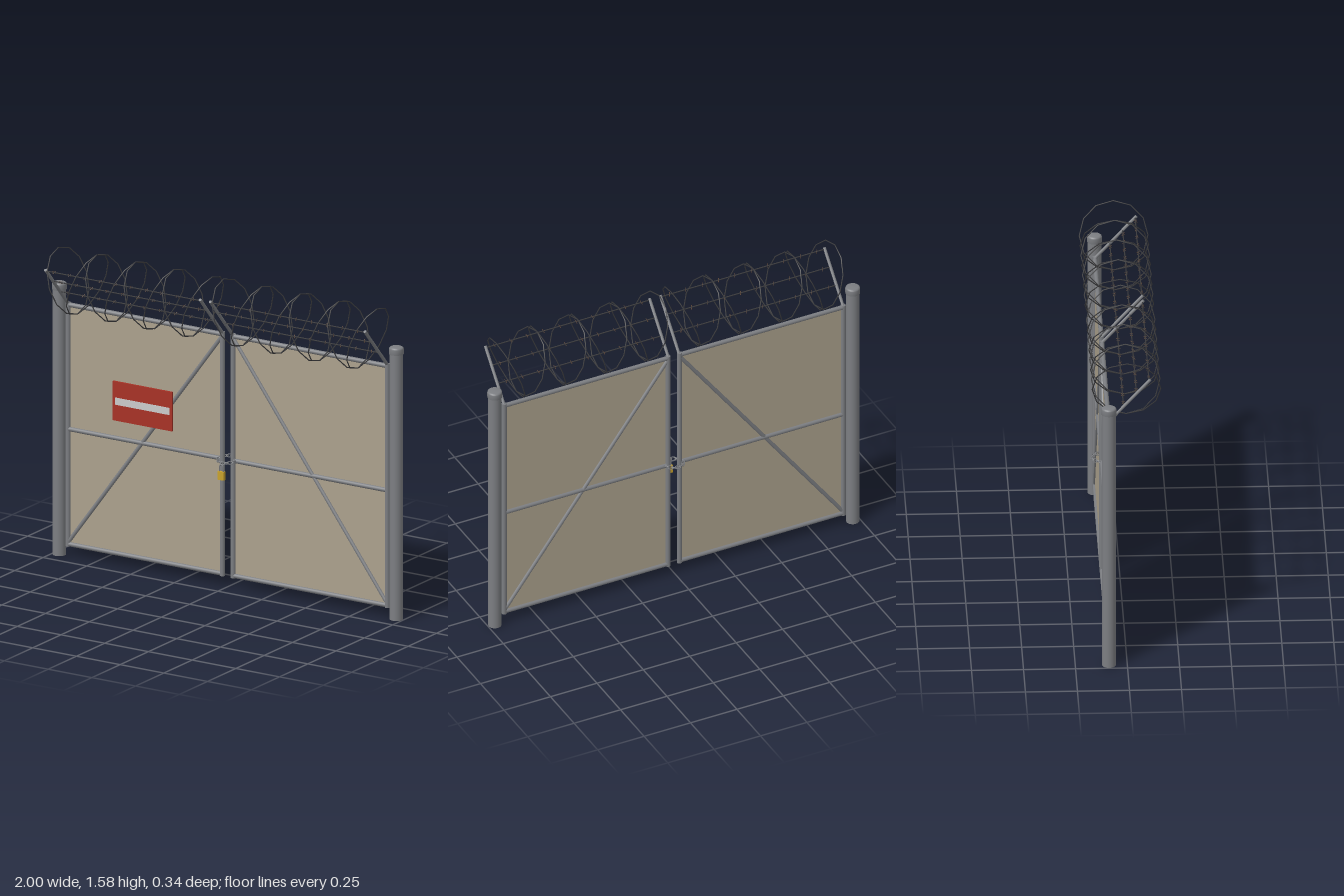
import * as THREE from 'three';
import { mergeGeometries } from 'three/addons/utils/BufferGeometryUtils.js';

const V = (x, y, z) => new THREE.Vector3(x, y, z);
const paint = (color, side = THREE.FrontSide) => new THREE.MeshStandardMaterial({ color, side });
const steel = paint(0x7c7e82), wire = paint(0x3c3c3e), rust = paint(0x6b5140);
const screen = paint(0xaba18d, THREE.DoubleSide);
const red = paint(0xa83226), white = paint(0xcccccc), brass = paint(0xc9a22c);
const Z = -0.088; // plane of the gate

function add(parent, name, geometry, material) {
  const mesh = new THREE.Mesh(geometry, material);
  mesh.name = name;
  parent.add(mesh);
  return mesh;
}

// straight round bar between two points
function bar(a, b, r, sides = 10) {
  const d = b.clone().sub(a);
  const q = new THREE.Quaternion().setFromUnitVectors(V(0, 1, 0), d.clone().normalize());
  const m = new THREE.Matrix4().compose(a.clone().add(b).multiplyScalar(0.5), q, V(1, 1, 1));
  return new THREE.CylinderGeometry(r, r, d.length(), sides).applyMatrix4(m);
}

// polygonal ring of razor wire, leaning from its top to its bottom along x
function coilRing(xTop, xBottom) {
  const path = new THREE.CurvePath(), n = 12, pts = [];
  for (let i = 0; i <= n; i++) {
    const a = i / n * Math.PI * 2, c = Math.cos(a);
    pts.push(V((xTop + xBottom) / 2 + c * (xTop - xBottom) / 2, 1.417 + 0.158 * c, 0.165 * Math.sin(a)));
  }
  for (let i = 0; i < n; i++) path.add(new THREE.LineCurve3(pts[i], pts[i + 1]));
  return new THREE.TubeGeometry(path, n, 0.003, 5, true);
}

// one leaf with its topping; s = 1 for the left, -1 for the right
function gateLeaf(s) {
  const leaf = new THREE.Group();
  leaf.name = s > 0 ? 'leftLeaf' : 'rightLeaf';
  const inner = 0.031, outer = 0.913;
  const P = (x, y, z = Z) => V(s * x, y, z);

  for (const [name, x] of [['innerStile', inner], ['outerStile', outer]])
    add(leaf, name, bar(P(x, 0.05), P(x, 1.277), 0.0125, 12), steel);
  for (const [name, y] of [['bottomRail', 0.061], ['middleRail', 0.64], ['topRail', 1.265]])
    add(leaf, name, bar(P(inner, y), P(outer, y), 0.0115), steel);
  add(leaf, 'diagonalBrace', bar(P(0.036, 1.25), P(0.905, 0.08), 0.01), steel);

  const sheet = add(leaf, 'infillSheet', new THREE.PlaneGeometry(outer - inner, 1.204), screen);
  sheet.position.set(s * (inner + outer) / 2, 0.663, Z);

  // arms leaning to the front, carrying three barbed strands
  const foot = t => [1.27 + 0.22 * t, Z + 0.2 * t];
  for (const x of [inner - 0.002, outer])
    add(leaf, 'leaningArm', bar(P(x, ...foot(0)), P(x, ...foot(1)), 0.008, 8), steel);
  for (const t of [0.36, 0.67, 0.97]) {
    const [y, z] = foot(t);
    add(leaf, 'strand', bar(P(inner, y, z), P(outer, y, z), 0.003, 6), wire);
    const barbs = [];
    for (let i = 0; i < 10; i++) {
      const x = inner + 0.045 + i * 0.088;
      barbs.push(bar(P(x - 0.003, y - 0.008, z - 0.006), P(x + 0.003, y + 0.008, z + 0.006), 0.0015, 4));
      barbs.push(bar(P(x + 0.003, y - 0.006, z + 0.008), P(x - 0.003, y + 0.006, z - 0.008), 0.0015, 4));
    }
    add(leaf, 'barbs', mergeGeometries(barbs), rust);
  }

  // rings lean alternately and meet at top and bottom
  const rings = [];
  for (let i = 0; i < 8; i++) {
    const a = s * (0.032 + i * 0.11), b = s * (0.032 + (i + 1) * 0.11);
    rings.push(i % 2 ? coilRing(b, a) : coilRing(a, b));
  }
  add(leaf, 'razorCoil', mergeGeometries(rings), wire);
  return leaf;
}

function gatePost(s) {
  const post = new THREE.Group();
  post.name = s > 0 ? 'leftPost' : 'rightPost';
  post.position.set(s * 0.964, 0, Z);
  add(post, 'postTube', new THREE.CylinderGeometry(0.033, 0.033, 1.345, 24).translate(0, 0.6725, 0), steel);
  const profile = [[0.031, 1.335], [0.036, 1.335], [0.036, 1.36], [0.034, 1.366], [0.028, 1.37], [0, 1.371]];
  add(post, 'postCap', new THREE.LatheGeometry(profile.map(p => new THREE.Vector2(...p)), 24), steel);
  return post;
}

// chain looped round both inner stiles
function lockChain() {
  const links = [], n = 16;
  for (let i = 0; i < n; i++) {
    const a = i / n * Math.PI * 2, sag = Math.max(0, Math.sin(a)) * 0.012;
    const link = new THREE.TorusGeometry(0.01, 0.0025, 6, 12).scale(1.35, 0.85, 1);
    link.rotateX(i % 2 ? Math.PI / 4 : -Math.PI / 4);
    link.rotateY(Math.PI / 2 - a);
    link.translate(0.048 * Math.cos(a), 0.645 - sag, Z + 0.046 * Math.sin(a));
    links.push(link);
  }
  return mergeGeometries(links);
}

export function createModel() {
  const gate = new THREE.Group();
  gate.name = 'gate';
  for (const s of [1, -1]) gate.add(gatePost(s), gateLeaf(s));

  // warning plate with a plain stripe
  const sign = new THREE.Group();
  sign.name = 'signPlate';
  sign.position.set(-0.475, 0.833, Z + 0.018);
  add(sign, 'plate', new THREE.BoxGeometry(0.34, 0.197, 0.01), red);
  add(sign, 'stripe', new THREE.BoxGeometry(0.312, 0.036, 0.004), white).position.z = 0.0045;
  gate.add(sign);

  add(gate, 'chain', lockChain(), steel);

  // padlock hanging from the front of the chain
  const lock = new THREE.Group();
  lock.name = 'padlock';
  lock.position.set(-0.002, 0, -0.034);
  add(lock, 'lockBody', new THREE.BoxGeometry(0.035, 0.042, 0.015).translate(0, 0.572, 0), brass);
  const bow = new THREE.CatmullRomCurve3([V(-0.011, 0.59, 0), V(-0.011, 0.614, 0), V(-0.007, 0.624, 0),
    V(0, 0.628, 0), V(0.007, 0.624, 0), V(0.011, 0.614, 0), V(0.011, 0.59, 0)]);
  add(lock, 'shackle', new THREE.TubeGeometry(bow, 20, 0.003, 8), steel);
  gate.add(lock);
  return gate;
}
